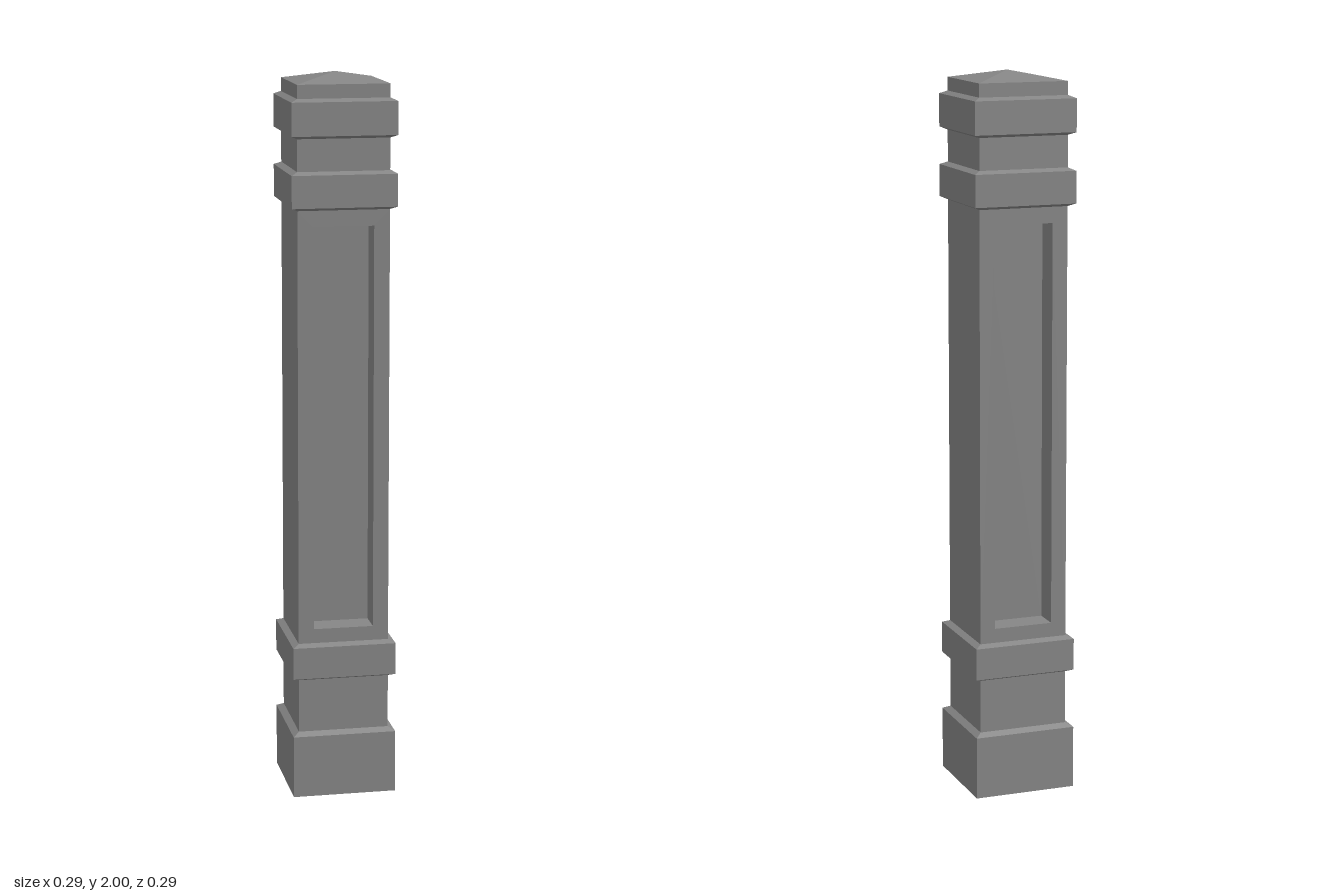
import * as THREE from 'three';

const SHAFT = 0.126, BAND = 0.144;       // half widths
const SHAFT_LOW = 0.44, SHAFT_HIGH = 1.641;
const PANEL = { half: 0.083, low: 0.48, high: 1.597, depth: 0.075 };

const material = new THREE.MeshStandardMaterial({
  color: 0x868686, flatShading: true, side: THREE.DoubleSide,
});

function part(name, geometry) {
  const mesh = new THREE.Mesh(geometry, material);
  mesh.name = name;
  return mesh;
}

// Square shell from a profile of [half width, height], bottom to top
function squareShell(name, profile) {
  const points = profile.map(([half, y]) => new THREE.Vector2(half * Math.SQRT2, y));
  const geometry = new THREE.LatheGeometry(points, 4, Math.PI / 4).toNonIndexed();
  geometry.computeVertexNormals();
  return part(name, geometry);
}

// Raised band with bevelled edges
const band = (low, high) => [
  [SHAFT, low], [BAND, low + 0.008], [BAND, high - 0.008], [SHAFT, high],
];

function rectangle(PathType, half, low, high) {
  return new PathType([[-half, low], [half, low], [half, high], [-half, high]]
    .map(([x, y]) => new THREE.Vector2(x, y)));
}

// Shaft face with a sunken panel
function panelledFace(name) {
  const face = new THREE.Group();
  face.name = name;
  const shape = rectangle(THREE.Shape, SHAFT, SHAFT_LOW, SHAFT_HIGH);
  shape.holes.push(rectangle(THREE.Path, PANEL.half, PANEL.low, PANEL.high));
  const frame = part('panelFrame', new THREE.ShapeGeometry(shape));
  frame.position.z = SHAFT;

  // Recess: a box without its outer face, turned inside out
  const box = new THREE.BoxGeometry(PANEL.half * 2, PANEL.high - PANEL.low, PANEL.depth);
  const index = Array.from(box.index.array);
  index.splice(24, 6);
  box.setIndex(index.reverse());
  const recess = box.toNonIndexed();
  recess.computeVertexNormals();
  const panel = part('panelRecess', recess);
  panel.position.set(0, (PANEL.low + PANEL.high) / 2, SHAFT - PANEL.depth / 2);
  face.add(frame, panel);
  return face;
}

export function createModel() {
  const post = new THREE.Group();
  post.name = 'post';

  // Hollow base, open underneath, up to the lower band
  post.add(squareShell('base', [
    [BAND, 0], [BAND, 0.175], [SHAFT, 0.185], ...band(0.335, SHAFT_LOW),
  ]));

  // Upper bands and low pyramid cap
  post.add(squareShell('capital', [
    ...band(SHAFT_HIGH, 1.745), ...band(1.832, 1.938), [SHAFT, 1.975], [0, 2],
  ]));

  // Shaft: panels front and back, plain sides
  for (const [name, side, turn] of [['front', 'left', 0], ['back', 'right', Math.PI]]) {
    const face = panelledFace(name + 'Face');
    face.rotation.y = turn;
    const plain = part(side + 'Face', new THREE.PlaneGeometry(SHAFT * 2, SHAFT_HIGH - SHAFT_LOW));
    plain.rotation.y = turn + Math.PI / 2;
    plain.position.set(turn ? -SHAFT : SHAFT, (SHAFT_LOW + SHAFT_HIGH) / 2, 0);
    post.add(face, plain);
  }
  return post;
}
